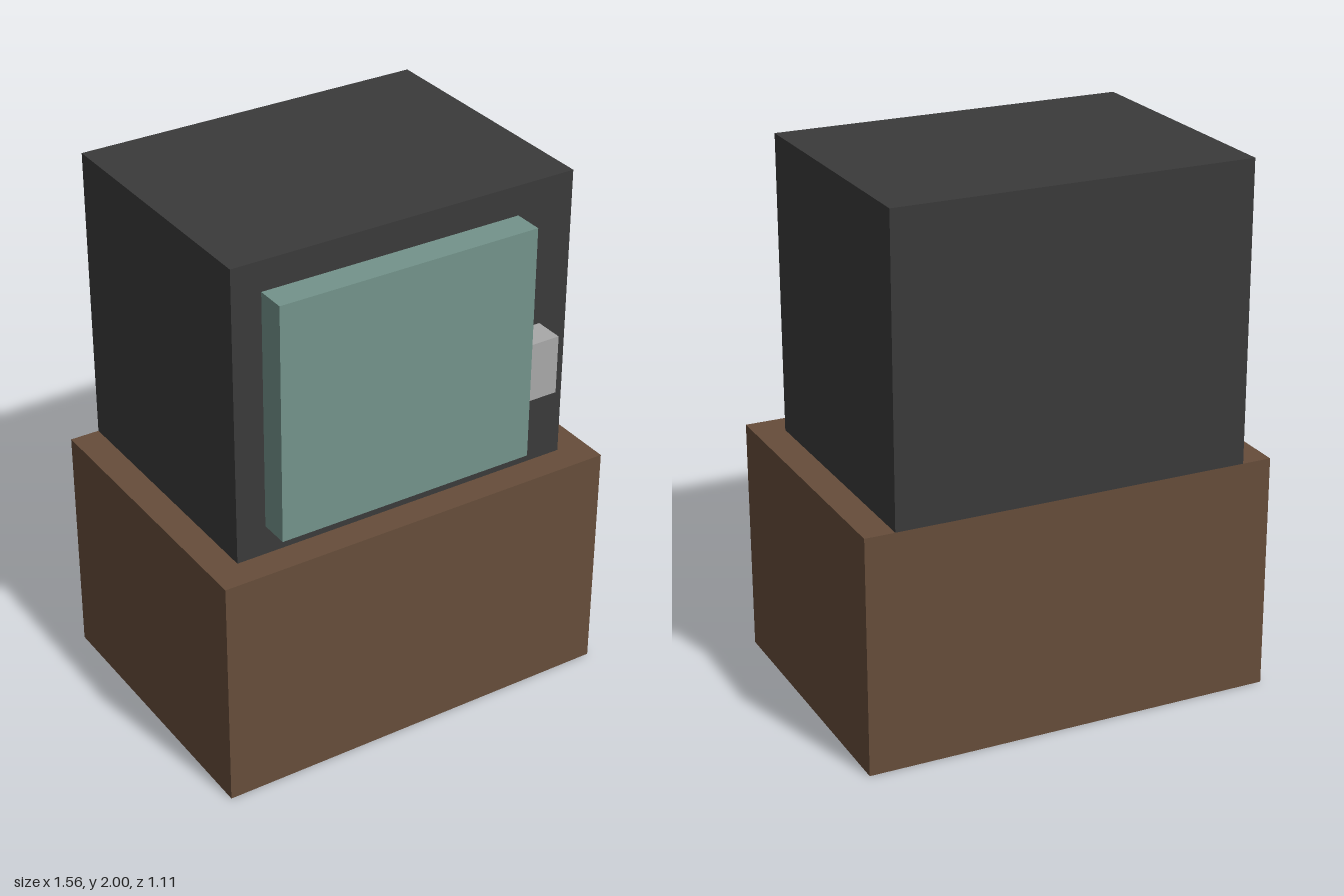
import * as THREE from 'three';

const U = 1 / 9; // the model sits on a grid of ninths

const material = (name, color) => {
  const m = new THREE.MeshStandardMaterial({ color });
  m.name = name;
  return m;
};

export function createModel() {
  const group = new THREE.Group();
  group.name = 'televisionOnCabinet';

  const wood = material('brown wood', 0x664d3a);
  const casing = material('charcoal casing', 0x3a3a3a);
  const glass = material('grey green glass', 0x73938b);
  const metal = material('light grey metal', 0xa8a8a8);

  // Box spanning two opposite corners, given in grid units
  const block = (name, mat, min, max) => {
    const size = max.map((v, i) => (v - min[i]) * U);
    const mesh = new THREE.Mesh(new THREE.BoxGeometry(...size), mat);
    mesh.position.set(...max.map((v, i) => ((v + min[i]) / 2) * U));
    mesh.name = name;
    group.add(mesh);
  };

  // Cabinet, with the set standing flush to its back
  block('cabinet', wood, [-7, 0, -5], [7, 8, 5]);
  block('televisionCasing', casing, [-6, 8, -5], [6, 18, 4]);

  // Raised screen and the dial beside it
  block('screen', glass, [-5, 9, 4], [4, 17, 5]);
  block('dial', metal, [4, 11, 4], [5, 13, 5]);

  return group;
}
